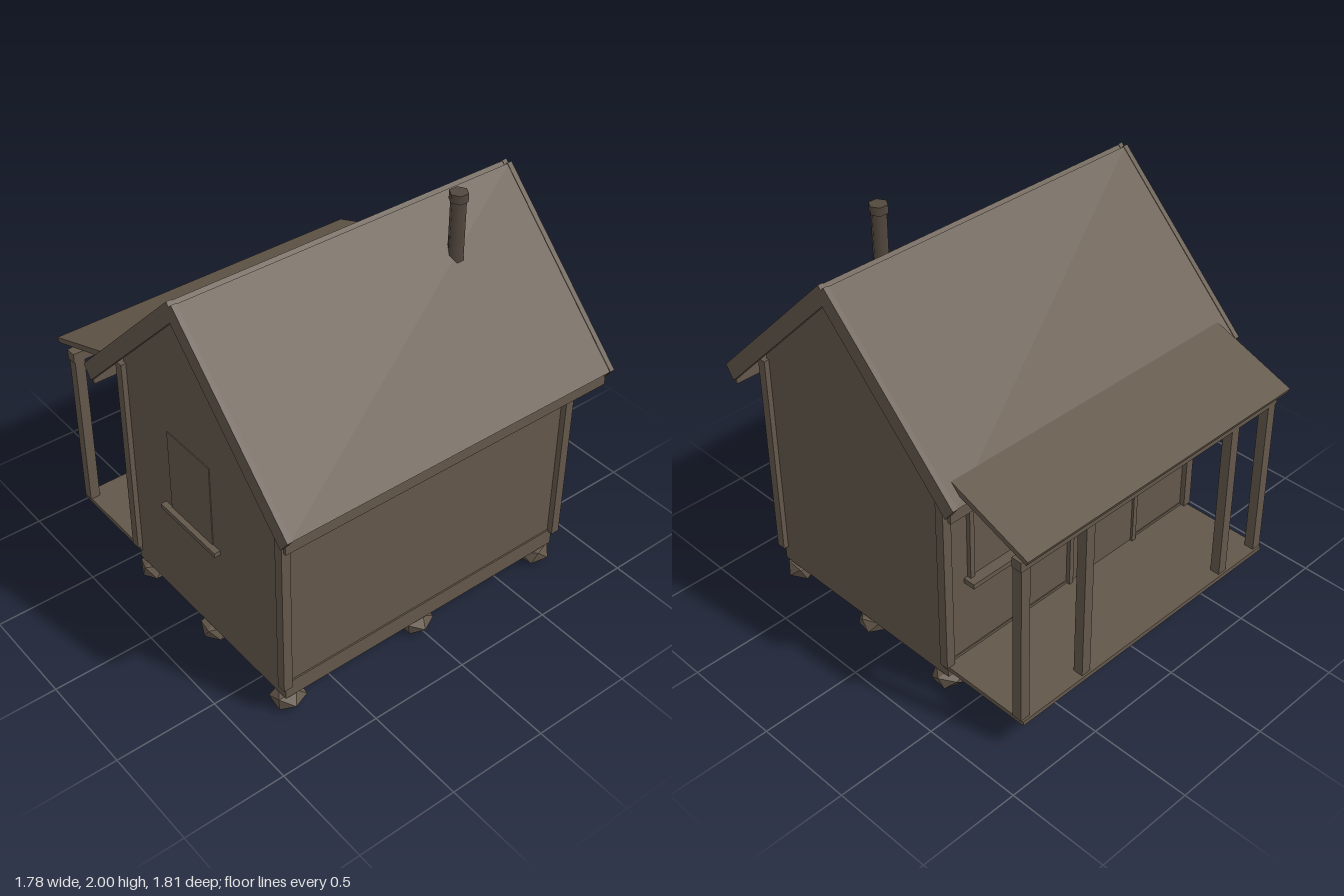
import * as THREE from 'three';

const wood = new THREE.MeshStandardMaterial({ color: 0x63574a });
wood.name = 'weathered wood';
const iron = new THREE.MeshStandardMaterial({ color: 0x52483e });
iron.name = 'stove pipe iron';

const MID = 0.175; // z of the ridge
const BACK = -0.39; // z of the back wall

export function createModel() {
  const model = new THREE.Group();
  model.name = 'cabin';

  const add = (name, geometry, material = wood) => {
    const mesh = new THREE.Mesh(geometry, material);
    mesh.name = name;
    model.add(mesh);
    return mesh;
  };
  // Box given by its extents
  const box = (name, x0, x1, y0, y1, z0, z1) =>
    add(name, new THREE.BoxGeometry(x1 - x0, y1 - y0, z1 - z0)
      .translate((x0 + x1) / 2, (y0 + y1) / 2, (z0 + z1) / 2));
  // Side outline of [z, y] points, extended along x
  const prism = (name, points, x0, x1) => {
    const shape = new THREE.Shape(points.map(([z, y]) => new THREE.Vector2(z, y)));
    const g = new THREE.ExtrudeGeometry(shape, { depth: x1 - x0, bevelEnabled: false });
    return add(name, g.rotateY(-Math.PI / 2).translate(x1, 0, 0));
  };

  // Walls with gables
  prism('walls', [[BACK + 0.005, 0.17], [0.735, 0.17], [0.735, 1.29], [MID, 1.855], [BACK + 0.005, 1.29]], -0.79, 0.79);

  // Sill beams, open underneath
  box('frontSill', -0.79, 0.79, 0.1, 0.19, 0.66, 0.742);
  box('backSill', -0.79, 0.79, 0.1, 0.19, BACK, -0.31);
  for (const s of [-1, 1]) {
    const [a, b] = [s * 0.71, s * 0.79].sort((p, q) => p - q);
    box('sideSill', a, b, 0.1, 0.19, -0.31, 0.66);
  }

  // Corner boards
  for (const s of [-1, 1]) {
    const [a, b] = [s * 0.77, s * 0.815].sort((p, q) => p - q);
    box('frontCornerBoard', a, b, 0.18, 1.245, 0.72, 0.765);
    box('backCornerBoard', a, b, 0.18, 1.245, -0.412, -0.367);
  }

  // Roof slopes, barge boards and fascias
  for (const s of [-1, 1]) {
    const at = (d, y) => [MID + s * d, y];
    prism('roofSlope', [at(0.016, 1.888), at(0.73, 1.178), at(0.709, 1.157), at(-0.004, 1.868)], -0.875, 0.875);
    for (const x of [-0.89, 0.865]) {
      prism('bargeBoard', [at(0.016, 1.892), at(0.733, 1.18), at(0.686, 1.115), at(0, 1.8), at(0, 1.874)], x, x + 0.025);
    }
    const z = MID + s * 0.692;
    box('fascia', -0.875, 0.875, 1.09, 1.17, z - 0.008, z + 0.008);
  }

  // Stove pipe with a cap
  const pipe = (name, r, y0, y1) => add(name,
    new THREE.CylinderGeometry(r, r, y1 - y0, 6).rotateY(Math.PI / 6 * 3)
      .translate(0.41, (y0 + y1) / 2, 0.375), iron);
  pipe('stovePipe', 0.036, 1.58, 1.97);
  pipe('pipeCap', 0.043, 1.96, 2.0);

  // Porch
  box('porchDeck', -0.8, 0.8, 0.153, 0.176, -0.86, BACK + 0.02);
  for (const x of [-0.78, -0.525, 0.405, 0.78]) {
    box('porchPost', x - 0.025, x + 0.025, 0.176, 1.005, -0.85, -0.8);
  }
  box('porchBeam', -0.81, 0.81, 1.0, 1.05, -0.853, -0.8);
  prism('porchRoof', [[-0.905, 1.095], [-0.895, 1.072], [-0.45, 1.233], [-0.455, 1.262]], -0.825, 0.825);

  // Four trim boards around an opening on the back wall
  const backTrim = (name, x0, x1, y0, y1, t) => {
    const z0 = BACK - 0.016;
    box(name, x0, x0 + t, y0, y1, z0, BACK + 0.01);
    box(name, x1 - t, x1, y0, y1, z0, BACK + 0.01);
    box(name, x0, x1, y1 - t, y1, z0, BACK + 0.01);
  };
  backTrim('doorTrim', -0.42, 0.04, 0.176, 1.0, 0.025);
  box('door', -0.395, 0.015, 0.18, 0.975, BACK - 0.004, BACK + 0.008);
  backTrim('backWindowTrim', 0.22, 0.66, 0.6, 1.08, 0.025);
  box('backWindowPane', 0.245, 0.635, 0.6, 1.055, BACK - 0.002, BACK + 0.007);
  box('backWindowSill', 0.2, 0.68, 0.575, 0.6, -0.445, BACK + 0.01);

  // Side window
  box('sideWindowPane', -0.794, -0.786, 0.63, 1.06, -0.07, 0.24);
  box('sideWindowSill', -0.82, -0.78, 0.608, 0.632, -0.12, 0.29);

  // Foundation stones around the perimeter
  let seed = 7;
  const random = () => (seed = (seed * 16807) % 2147483647) / 2147483647;
  for (const x of [-0.74, -0.01, 0.735]) {
    for (const z of [-0.335, 0.165, 0.69]) {
      if (x === -0.01 && z === 0.165) continue;
      const g = new THREE.IcosahedronGeometry(1, 0);
      g.rotateY(random() * 6).rotateX(random() * 2);
      g.scale(0.085, 0.062, 0.08);
      // Flatten the top and bottom
      const p = g.attributes.position;
      for (let i = 0; i < p.count; i++) {
        p.setY(i, THREE.MathUtils.clamp(p.getY(i), -0.05, 0.05));
      }
      g.computeVertexNormals();
      add('foundationStone', g).position.set(x, 0.05, z);
    }
  }
  return model;
}
